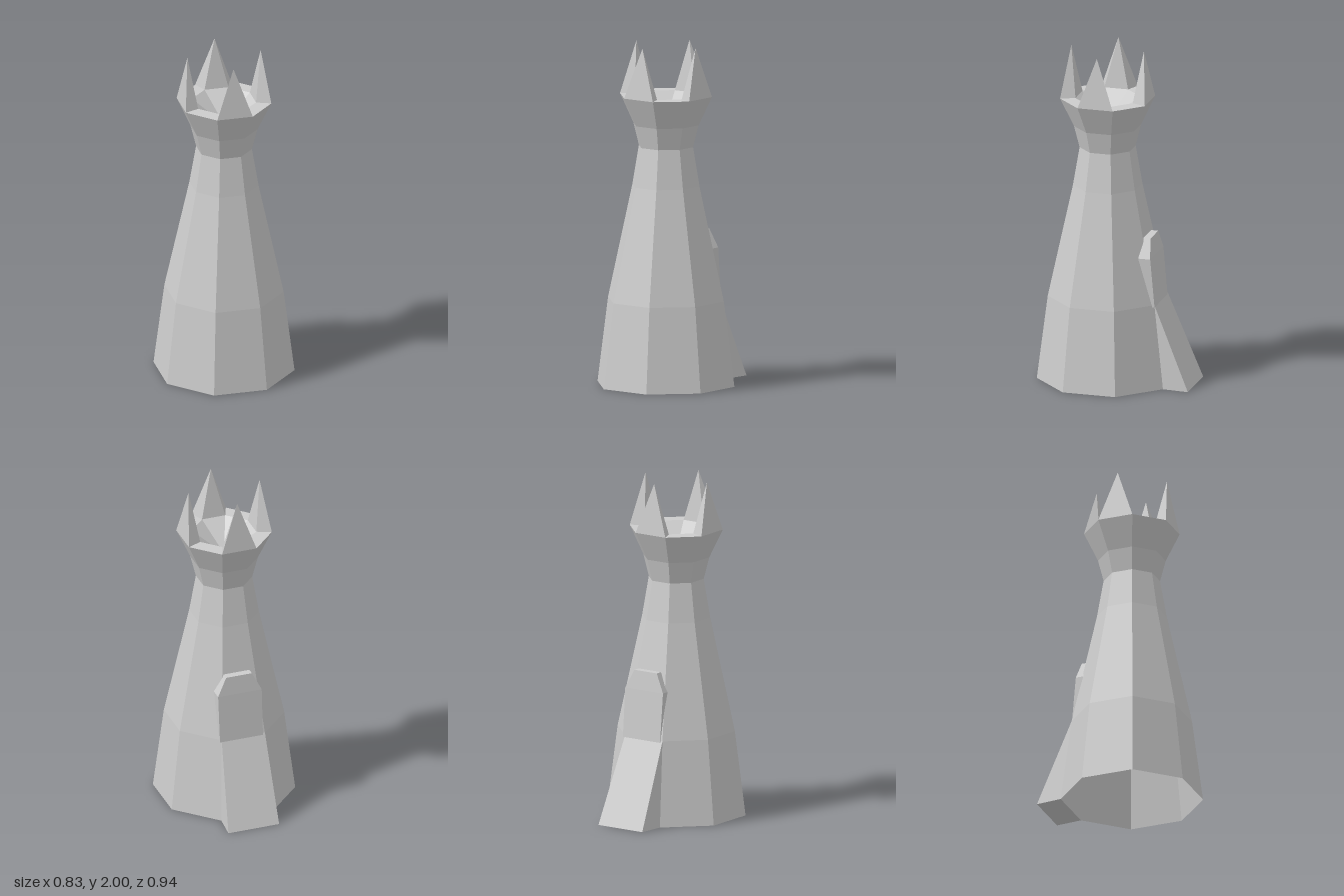
import * as THREE from 'three';
import { ConvexGeometry } from 'three/addons/geometries/ConvexGeometry.js';

const SIDES = 8;
const STEP = (Math.PI * 2) / SIDES;
const TURN = THREE.MathUtils.degToRad(8.3); // angle of the first corner, from +x towards +z
const CENTRE = new THREE.Vector3(-0.008, 0, 0.06);

const material = new THREE.MeshStandardMaterial({
  color: 0xcccccc, flatShading: true, side: THREE.DoubleSide,
});

// Corner number i of the octagon with radius r at height y
function corner(i, r, y) {
  const a = TURN + i * STEP;
  return new THREE.Vector3(r * Math.cos(a), y, r * Math.sin(a));
}

// Point on the doorway wall: u along the wall, y up, n outwards from the axis
const DOOR = TURN - 1.5 * STEP;
function wallPoint(u, y, n) {
  const c = Math.cos(DOOR), s = Math.sin(DOOR);
  return new THREE.Vector3(n * c - u * s, y, n * s + u * c);
}

export function createModel() {
  const group = new THREE.Group();
  group.name = 'tower';
  const add = (name, geometry) => {
    const mesh = new THREE.Mesh(geometry, material);
    mesh.name = name;
    mesh.position.copy(CENTRE);
    group.add(mesh);
  };

  // Tapering wall, open below, with flared head, flat rim and sunken roof
  const profile = [
    [0.414, 0], [0.35, 0.5], [0.203, 1.17], [0.164, 1.4], [0.197, 1.53],
    [0.278, 1.7], [0.188, 1.7], [0, 1.55],
  ].map(([r, y]) => new THREE.Vector2(r, y));
  add('towerWall', new THREE.LatheGeometry(profile, SIDES, Math.PI / 2 - TURN));

  // Pointed battlements on every other side of the rim
  for (let i = 1; i < SIDES; i += 2) {
    const base = [];
    for (const r of [0.278, 0.188]) base.push(corner(i - 1, r, 1.7), corner(i, r, 1.7));
    const tip = corner(i - 0.5, 0.22, 2);
    add('battlement', new ConvexGeometry([...base, tip]));
  }

  // Wedge-shaped ramp drawn out from the foot of one wall
  const ramp = [
    corner(-2, 0.35, 0.5), corner(-1, 0.35, 0.5),
    corner(-2, 0.414, 0), corner(-1, 0.414, 0),
    wallPoint(0.171, 0, 0.537), wallPoint(-0.143, 0, 0.537),
  ];
  add('ramp', new ConvexGeometry(ramp));

  // Leaning door with clipped top corners, set into the wall above the ramp
  const door = [];
  for (const [half, y, n] of [[0.133, 0.49, 0.328], [0.135, 0.78, 0.302], [0.08, 0.89, 0.287]]) {
    for (const side of [-1, 1]) {
      door.push(wallPoint(0.013 + side * half, y, n), wallPoint(0.013 + side * half, y, n - 0.09));
    }
  }
  add('door', new ConvexGeometry(door));

  return group;
}
